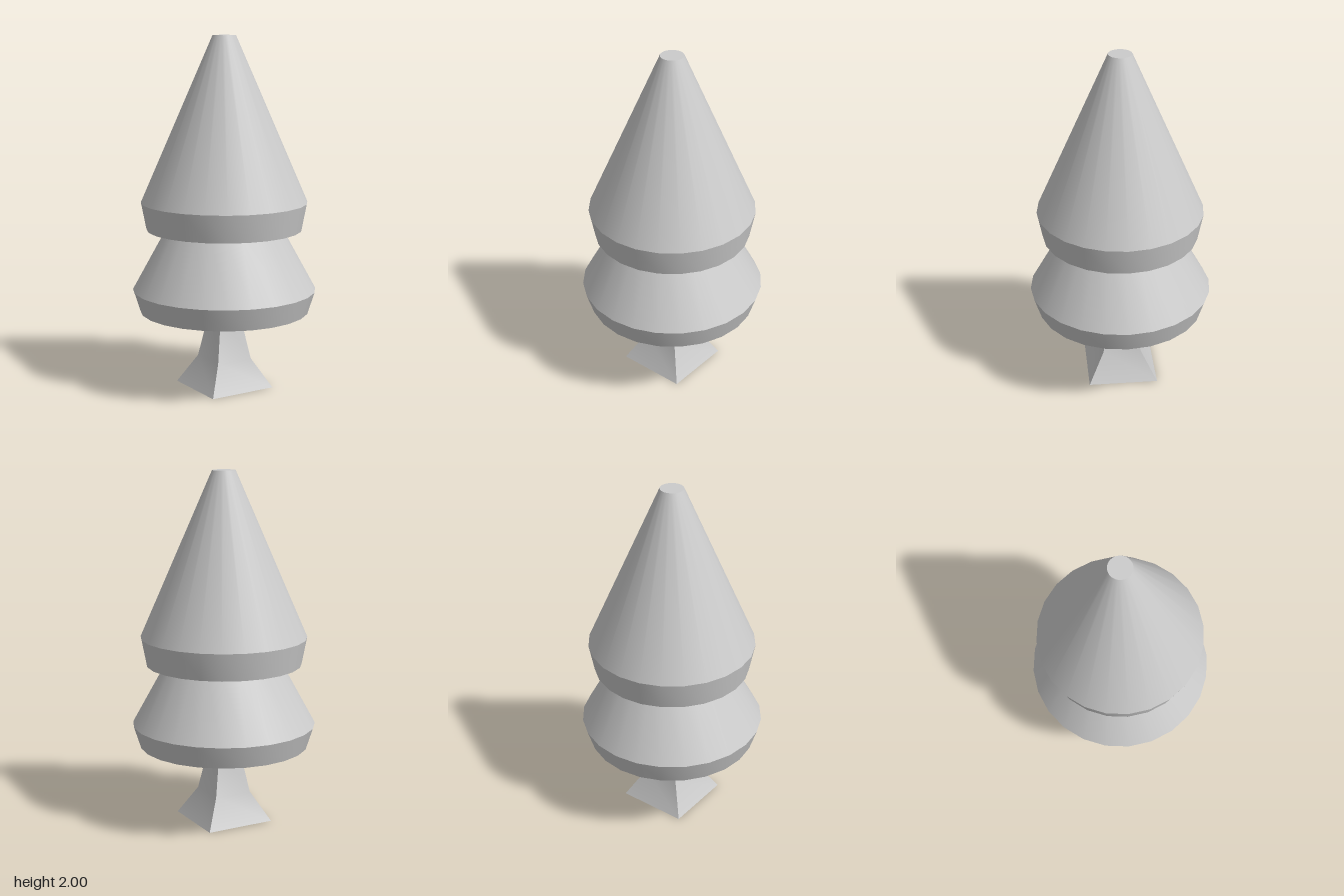
import * as THREE from 'three';
import { toCreasedNormals } from 'three/addons/utils/BufferGeometryUtils.js';

const material = new THREE.MeshStandardMaterial({ color: 0xcccccc });

// Closed solid turned from [radius, height] pairs, bottom to top
function turned(name, profile, sides, startAngle = 0) {
  const points = [
    [0, profile[0][1]],
    ...profile,
    [0, profile[profile.length - 1][1]],
  ].map(([r, y]) => new THREE.Vector2(r, y));
  const lathe = new THREE.LatheGeometry(points, sides, startAngle);
  const mesh = new THREE.Mesh(toCreasedNormals(lathe, 0.5), material);
  mesh.name = name;
  return mesh;
}

export function createModel() {
  const tree = new THREE.Group();
  tree.name = 'tree';

  // Square trunk flaring at the foot: half widths become corner radii
  const trunkProfile = [[0.2, 0], [0.11, 0.165], [0.06, 0.445]]
    .map(([half, y]) => [half * Math.SQRT2, y]);
  tree.add(turned('trunk', trunkProfile, 4, Math.PI / 4));

  // Foliage tiers: tapered rim below a long cone
  tree.add(turned('lowerFoliage', [[0.48, 0.445], [0.52, 0.57], [0.33, 0.915]], 24));
  tree.add(turned('upperFoliage', [[0.44, 0.915], [0.47, 1.07], [0.065, 2]], 24));

  return tree;
}
